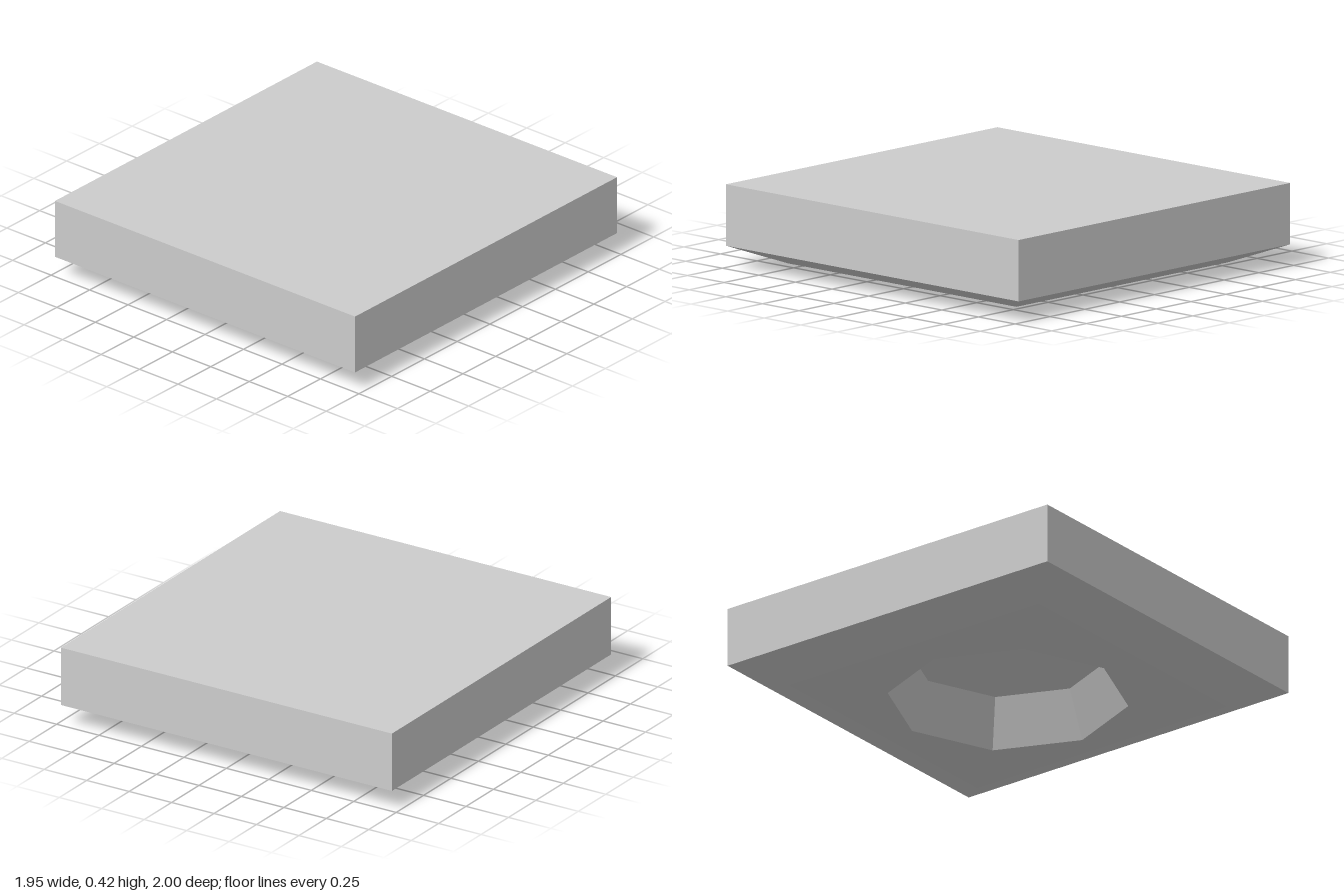
import * as THREE from 'three';

// Rectangular cross-sections [halfX, y, halfZ], listed from bottom to top, joined into walls
function rectLoft(sections) {
  const corners = [[1, 1], [1, -1], [-1, -1], [-1, 1]];
  const pos = [];
  const point = ([hx, y, hz], i) => {
    const [sx, sz] = corners[i % 4];
    return [sx * hx, y, sz * hz];
  };
  for (let s = 0; s < sections.length - 1; s++) {
    for (let i = 0; i < 4; i++) {
      const a = point(sections[s], i), b = point(sections[s], i + 1);
      const c = point(sections[s + 1], i + 1), d = point(sections[s + 1], i);
      pos.push(...a, ...b, ...c, ...a, ...c, ...d);
    }
  }
  const geometry = new THREE.BufferGeometry();
  geometry.setAttribute('position', new THREE.Float32BufferAttribute(pos, 3));
  geometry.computeVertexNormals();
  return geometry;
}

export function createModel() {
  const group = new THREE.Group();
  const grey = new THREE.MeshStandardMaterial({ color: 0xcccccc });
  grey.name = 'light grey';

  const add = (name, geometry) => {
    const mesh = new THREE.Mesh(geometry, grey);
    mesh.name = name;
    group.add(mesh);
    return mesh;
  };

  // Slab sides, with the sloped skirt beneath
  add('slabSides', rectLoft([[0.76, 0.02, 0.78], [0.975, 0.11, 1], [0.975, 0.42, 1]]));

  // Flat top
  const top = add('slabTop', new THREE.PlaneGeometry(1.95, 2));
  top.rotation.x = -Math.PI / 2;
  top.position.y = 0.42;

  // Underside plate with an octagonal opening
  const plate = new THREE.Shape([
    new THREE.Vector2(-0.76, -0.78), new THREE.Vector2(0.76, -0.78),
    new THREE.Vector2(0.76, 0.78), new THREE.Vector2(-0.76, 0.78),
  ]);
  const opening = [];
  for (let i = 0; i < 8; i++) {
    const a = (-i * Math.PI) / 4;
    opening.push(new THREE.Vector2(0.68 * Math.cos(a), 0.68 * Math.sin(a)));
  }
  plate.holes.push(new THREE.Path(opening));
  const underside = add('underside', new THREE.ShapeGeometry(plate));
  underside.rotation.x = Math.PI / 2;
  underside.position.y = 0.02;

  // Octagonal rim, recessed wall and shallow pointed centre
  const profile = [[0, 0.106], [0.5, 0.245], [0.6, 0], [0.68, 0.02]]
    .map(([r, y]) => new THREE.Vector2(r, y));
  const recess = new THREE.LatheGeometry(profile, 8).toNonIndexed();
  recess.computeVertexNormals();
  add('octagonalRecess', recess);

  return group;
}
